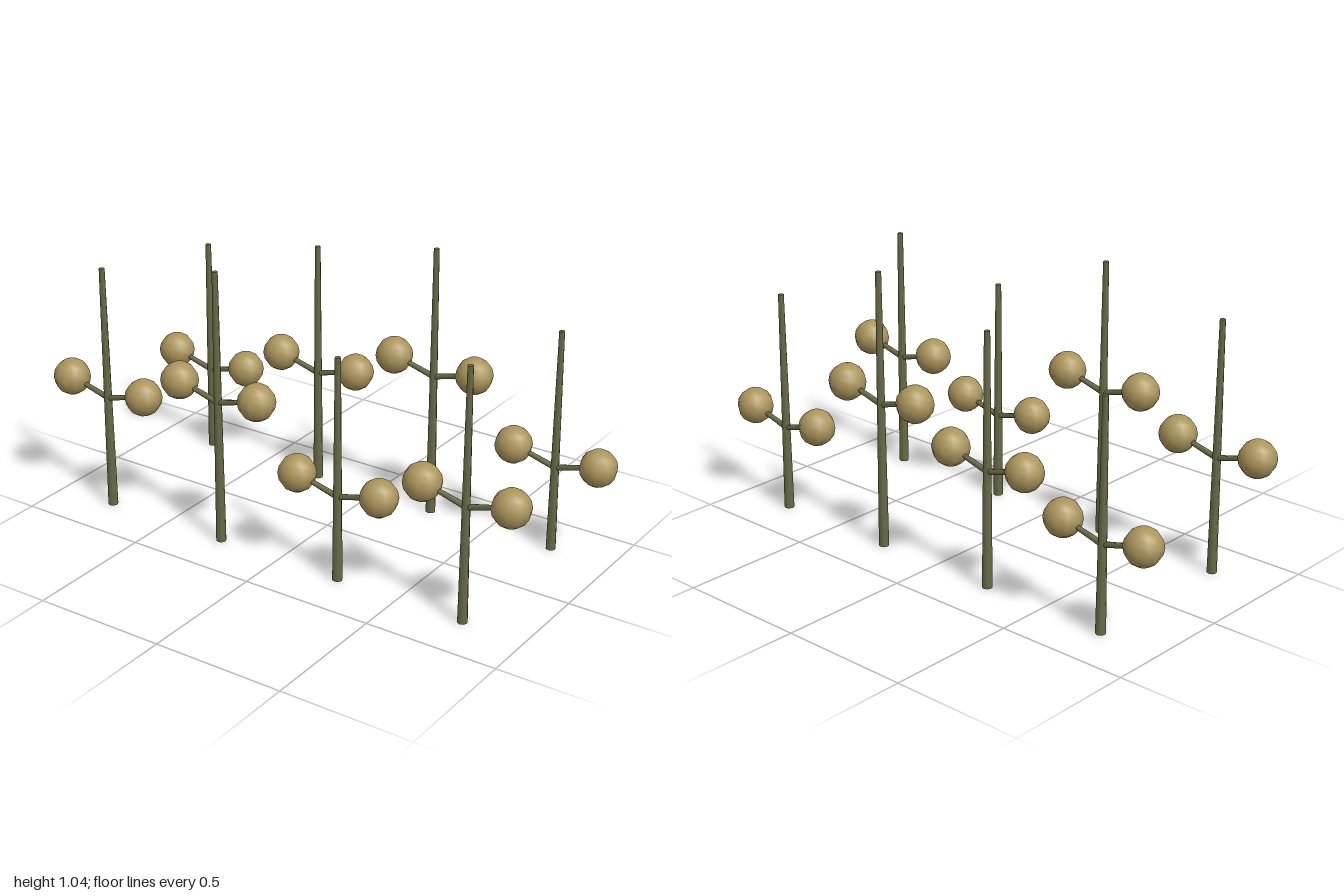
import * as THREE from 'three';

export function createModel() {
  const model = new THREE.Group();
  model.name = 'plantRows';

  const stemMat = new THREE.MeshStandardMaterial({ color: 0x686a45 });
  stemMat.name = 'olive stem';
  const ballMat = new THREE.MeshStandardMaterial({ color: 0xac965c });
  ballMat.name = 'tan seed head';

  const BALL_R = 0.069, REACH = 0.169, RISE = 0.045;
  const ballGeo = new THREE.SphereGeometry(BALL_R, 10, 8);
  const branchLength = Math.hypot(REACH, RISE);
  const branchGeo = new THREE.CylinderGeometry(0.008, 0.011, branchLength, 6);

  function add(parent, geometry, material, name, x, y) {
    const mesh = new THREE.Mesh(geometry, material);
    mesh.name = name;
    mesh.position.set(x, y, 0);
    parent.add(mesh);
    return mesh;
  }

  // One plant: tapered stem with a mirrored pair of rising branches, each ending in a ball
  function makePlant(size) {
    const height = [0.847, 0.944, 1.041][size];
    const fork = [0.325, 0.437, 0.549][size];
    const plant = new THREE.Group();
    plant.name = 'plant';
    add(plant, new THREE.CylinderGeometry(0.0105, 0.0185, height, 8), stemMat, 'stem', 0, height / 2);
    for (const side of [-1, 1]) {
      const branch = add(plant, branchGeo, stemMat, 'branch', side * REACH / 2, fork + RISE / 2);
      branch.rotation.z = -side * Math.atan2(REACH, RISE);
      add(plant, ballGeo, ballMat, 'seedHead', side * REACH, fork + RISE);
    }
    return plant;
  }

  // Two rows of four; sizes run 0 = short, 1 = medium, 2 = tall
  const rows = [
    { name: 'backRow', z: -0.31, sizes: [0, 1, 2, 0] },
    { name: 'frontRow', z: 0.31, sizes: [1, 2, 0, 1] },
  ];
  for (const { name, z, sizes } of rows) {
    const row = new THREE.Group();
    row.name = name;
    row.position.z = z;
    sizes.forEach((size, i) => {
      const plant = makePlant(size);
      plant.position.x = (i - 1.5) * 0.508;
      row.add(plant);
    });
    model.add(row);
  }
  return model;
}
